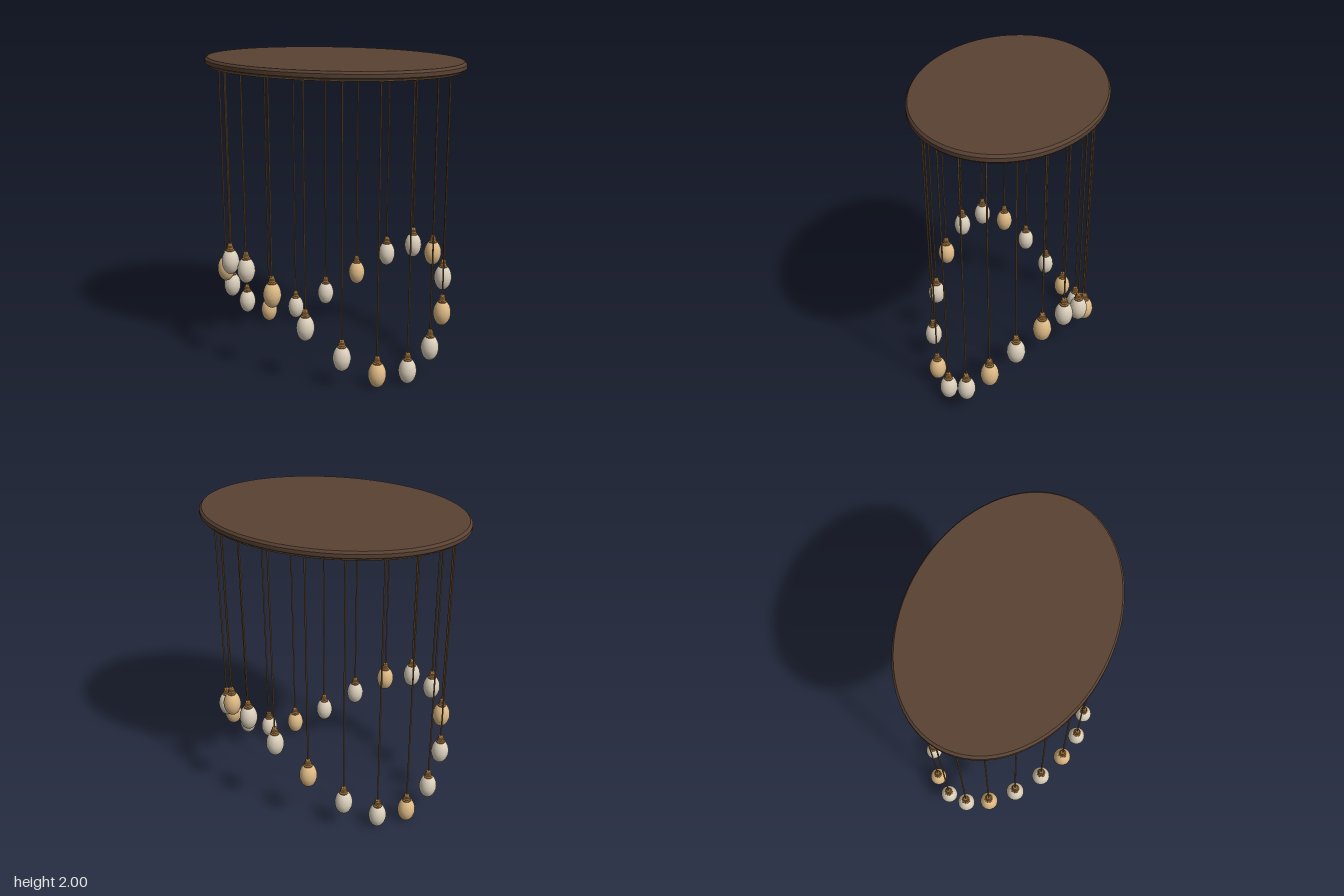
import * as THREE from 'three';
import { toCreasedNormals } from 'three/addons/utils/BufferGeometryUtils.js';

const mat = (name, color) => {
  const m = new THREE.MeshStandardMaterial({ color });
  m.name = name;
  return m;
};

// Turned part from [radius, height] pairs, listed bottom to top
const turned = (points, segments) =>
  new THREE.LatheGeometry(points.map(([r, y]) => new THREE.Vector2(r, y)), segments);

export function createModel() {
  const wood = mat('dark wood', 0x594233);
  const brass = mat('aged brass', 0x9c713e);
  const cordBronze = mat('cord bronze', 0x82603a);
  const pearl = mat('pearl glass', 0xdcd0bc);
  const amber = mat('amber glass', 0xdeba86);

  const model = new THREE.Group();
  model.name = 'pendantChandelier';
  const add = (parent, name, geometry, material, y = 0) => {
    const mesh = new THREE.Mesh(geometry, material);
    mesh.name = name;
    mesh.position.y = y;
    parent.add(mesh);
    return mesh;
  };

  // Oval ceiling plate with bevelled rim
  const plate = turned([[0, 1.949], [0.825, 1.949], [0.842, 1.961], [0.842, 1.985], [0.827, 2], [0, 2]], 72);
  plate.scale(1, 1, 0.601 / 0.842);
  add(model, 'ceilingPlate', toCreasedNormals(plate, 0.4), wood);

  // Brass trim band under the rim
  const trim = turned([[0.8, 1.95], [0.804, 1.942], [0.82, 1.942], [0.825, 1.95]], 72);
  trim.scale(1, 1, 0.589 / 0.825);
  add(model, 'trimBand', trim, brass);

  // Shared pendant parts, measured from the bulb centre
  const canopy = toCreasedNormals(
    turned([[0, -0.02], [0.014, -0.02], [0.023, -0.008], [0.023, 0]], 16), 0.9);
  const cap = toCreasedNormals(turned([
    [0.02, 0.062], [0.029, 0.066], [0.029, 0.078], [0.022, 0.084],
    [0.022, 0.1], [0.017, 0.104], [0.016, 0.117], [0.01, 0.122], [0, 0.122],
  ], 16), 0.8);
  const profile = new THREE.SplineCurve([
    [0, -0.09], [0.022, -0.083], [0.043, -0.06], [0.055, -0.028], [0.058, 0],
    [0.053, 0.032], [0.041, 0.058], [0.026, 0.074], [0, 0.08],
  ].map(([r, y]) => new THREE.Vector2(r, y))).getPoints(20);
  profile.forEach(p => { p.x = Math.max(p.x, 0); });
  const bulb = new THREE.LatheGeometry(profile, 20);

  // Twenty pendants around the oval, hanging in a double wave
  const count = 20, ceiling = 1.949;
  for (let i = 0; i < count; i++) {
    const angle = (i / count) * Math.PI * 2;
    const centre = 0.385 - 0.31 * Math.sin(2 * angle);
    const pendant = new THREE.Group();
    pendant.name = 'pendant' + (i + 1);
    pendant.position.set(0.752 * Math.cos(angle), 0, 0.52 * Math.sin(angle));
    model.add(pendant);

    const bottom = centre + 0.118;
    const cord = new THREE.CylinderGeometry(0.005, 0.005, ceiling - bottom, 12, 1, true);
    add(pendant, 'cord', cord, cordBronze, (ceiling + bottom) / 2);
    add(pendant, 'canopy', canopy, brass, ceiling);
    add(pendant, 'cap', cap, brass, centre);
    add(pendant, 'bulb', bulb, i % 3 === 0 ? amber : pearl, centre);
  }
  return model;
}
